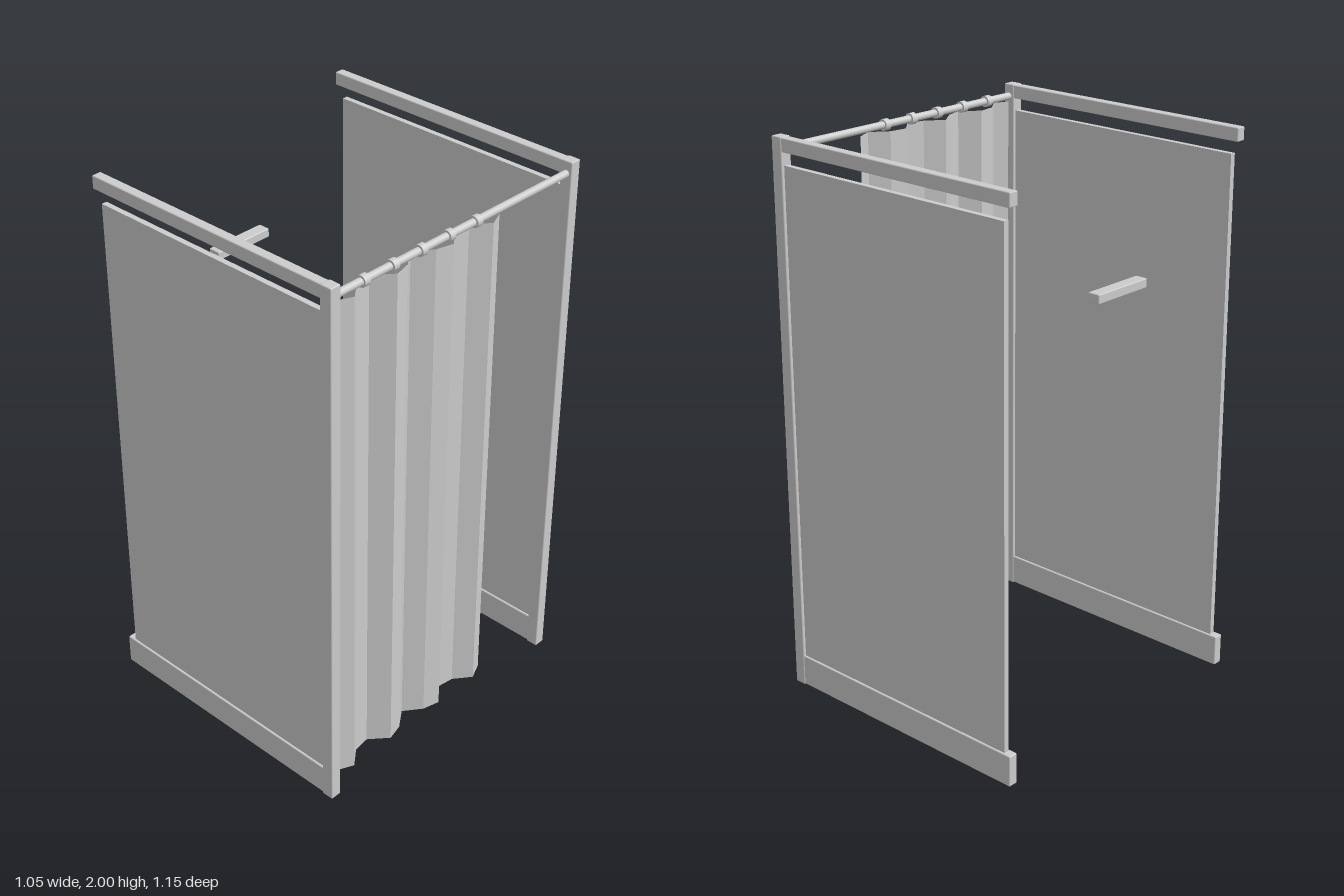
import * as THREE from 'three';
import { RoundedBoxGeometry } from 'three/addons/geometries/RoundedBoxGeometry.js';

export function createModel() {
  const model = new THREE.Group();
  model.name = 'curtainedBooth';

  const grey = new THREE.MeshStandardMaterial({ color: 0xcccccc });
  grey.name = 'light grey';
  const cloth = new THREE.MeshStandardMaterial({ color: 0xcccccc, side: THREE.DoubleSide, flatShading: true });
  cloth.name = 'grey cloth';

  function add(parent, name, geometry, material = grey) {
    const mesh = new THREE.Mesh(geometry, material);
    mesh.name = name;
    parent.add(mesh);
    return mesh;
  }

  // Box given by its limits, with slightly softened edges when radius > 0
  function block(parent, name, [x0, x1], [y0, y1], [z0, z1], radius = 0.004) {
    const size = [x1 - x0, y1 - y0, z1 - z0];
    const geometry = radius > 0
      ? new RoundedBoxGeometry(...size, 1, radius)
      : new THREE.BoxGeometry(...size);
    add(parent, name, geometry).position.set((x0 + x1) / 2, (y0 + y1) / 2, (z0 + z1) / 2);
  }

  // Two mirrored side walls: post, top rail, base rail and thin panel
  for (const side of [1, -1]) {
    const wall = new THREE.Group();
    wall.name = side > 0 ? 'frontWall' : 'backWall';
    const zc = side * 0.553;
    const depth = (t) => [zc - t / 2, zc + t / 2];
    block(wall, 'post', [0.467, 0.512], [0, 2], depth(0.042));
    block(wall, 'topRail', [-0.53, 0.49], [1.95, 1.998], depth(0.036));
    block(wall, 'baseRail', [-0.53, 0.49], [0.002, 0.115], depth(0.036));
    block(wall, 'panel', [-0.5, 0.48], [0.1, 1.905], depth(0.02), 0);
    model.add(wall);
  }

  // Small bar mounted high between the walls at the far side
  block(model, 'wallBar', [-0.496, -0.45], [1.54, 1.573], [-0.12, 0.12]);

  // Curtain rod and its rings
  const rodX = 0.49, rodY = 1.956;
  const rod = add(model, 'curtainRod', new THREE.CylinderGeometry(0.013, 0.013, 1.08, 20));
  rod.rotation.x = Math.PI / 2;
  rod.position.set(rodX, rodY, 0);
  for (let i = 0; i < 5; i++) {
    const ring = add(model, 'curtainRing', new THREE.CylinderGeometry(0.02, 0.02, 0.023, 20));
    ring.rotation.x = Math.PI / 2;
    ring.position.set(rodX, rodY, 0.415 - i * 0.1258);
  }

  // Folded curtain: zigzag of (x, z) points, leaning outward toward the hem
  const folds = [
    [0.49, 0.53], [0.514, 0.477], [0.467, 0.418], [0.458, 0.355], [0.513, 0.292],
    [0.497, 0.23], [0.45, 0.165], [0.497, 0.103], [0.513, 0.04], [0.458, -0.021],
    [0.467, -0.085], [0.514, -0.146], [0.488, -0.205],
  ];
  const rows = 4;
  const sheet = new THREE.PlaneGeometry(1, 1, folds.length - 1, rows);
  const p = sheet.attributes.position;
  for (let i = 0; i < p.count; i++) {
    const [x, z] = folds[i % folds.length];
    const t = Math.floor(i / folds.length) / rows;
    p.setXYZ(i, x + 0.01 * t, 1.936 - 1.836 * t, z);
  }
  sheet.computeVertexNormals();
  add(model, 'curtain', sheet, cloth);

  return model;
}
